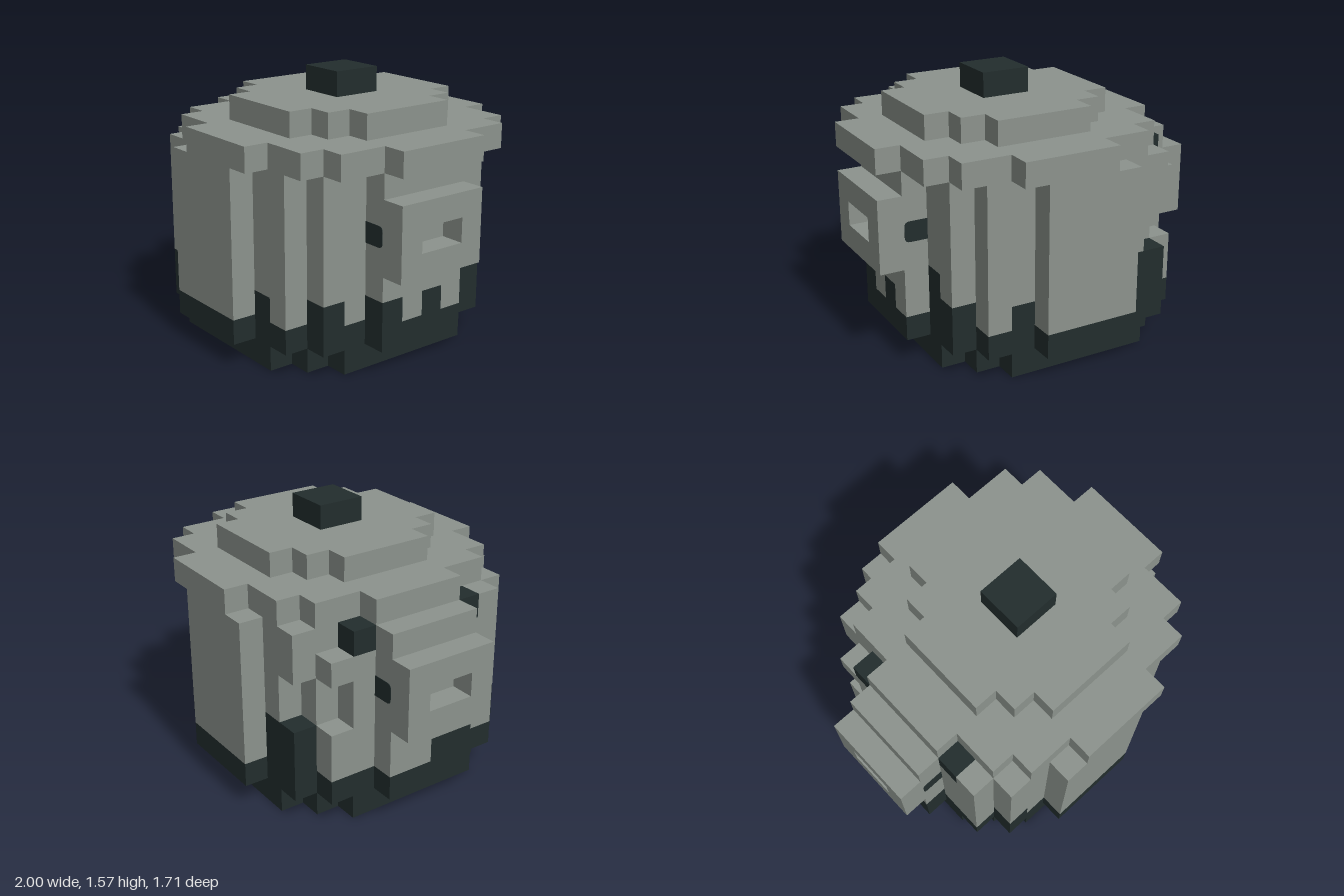
import * as THREE from 'three';

const U = 1 / 7; // edge of one cube

// Half-widths of a stepped disc, indexed by distance of the cube row from the centre
const DISC6 = [6, 6, 5, 5, 4, 2];
const DISC5 = [5, 5, 5, 4, 3];
const DISC4 = [4, 4, 3, 2];

// Cubes at the rim where the dark base climbs higher than usual: "x,z" -> top
const STAIN = {
  '-6,1': 3, '-6,0': 3, '-4,4': 3, '2,4': 3, '4,3': 3, '5,1': 3, '5,-1': 3,
  '4,-3': 4, '4,-4': 3, '2,-5': 3, '-3,-5': 4, '-4,-5': 4,
};

// Six cube faces: outward normal, then the two in-plane axes (u x v = normal)
const FACES = [
  [[1, 0, 0], [0, 1, 0], [0, 0, 1]], [[-1, 0, 0], [0, 0, 1], [0, 1, 0]],
  [[0, 1, 0], [0, 0, 1], [1, 0, 0]], [[0, -1, 0], [1, 0, 0], [0, 0, 1]],
  [[0, 0, 1], [1, 0, 0], [0, 1, 0]], [[0, 0, -1], [0, 1, 0], [1, 0, 0]],
];

export function createModel() {
  const clay = new THREE.MeshStandardMaterial({ color: 0x8c938d });
  clay.name = 'greyClay';
  const soot = new THREE.MeshStandardMaterial({ color: 0x222d2d });
  soot.name = 'darkSoot';

  const cells = new Map();
  const key = (x, y, z) => `${x},${y},${z}`;
  const put = (part, x, y, z) => cells.set(key(x, y, z), { part, p: [x, y, z] });

  // Calls fn for each column of a stepped disc centred on cx
  const disc = (rows, cx, fn) => {
    for (let z = -rows.length; z < rows.length; z++) {
      const w = rows[z < 0 ? -z - 1 : z];
      for (let x = cx - w; x < cx + w; x++) fn(x, z);
    }
  };

  // Base and pot wall
  disc(DISC5, 0, (x, z) => put('base', x, 0, z));
  disc(DISC6, 0, (x, z) => {
    const top = STAIN[`${x},${z}`] ?? 2;
    for (let y = 1; y < 8; y++) put(y < top ? 'base' : 'pot', x, y, z);
  });

  // Chipped corner at the back
  for (const y of [4, 5]) {
    cells.delete(key(-4, y, -5));
    cells.delete(key(-5, y, -4));
  }
  cells.delete(key(-5, 7, -4));

  // Dark spots on the rim
  for (const z of [-3, 2]) put('rimSpots', -5, 7, z);

  // Lid, slid to one side, with its knob
  disc(DISC6, 1, (x, z) => put('lid', x, 8, z));
  disc(DISC4, 1, (x, z) => put('lid', x, 9, z));
  disc([1], 1, (x, z) => put('knob', x, 10, z));

  // Handles, each with an opening
  for (const x of [-7, 6])
    for (let y = 4; y < 7; y++)
      for (let z = -2; z < 2; z++)
        if (y !== 5 || z === -2 || z === 1) put(x < 0 ? 'rightHandle' : 'leftHandle', x, y, z);

  // Turn exposed cube faces into one mesh per part
  const data = {};
  for (const { part, p } of cells.values()) {
    const out = (data[part] ??= { pos: [], nor: [] });
    for (const [n, u, v] of FACES) {
      if (cells.has(key(p[0] + n[0], p[1] + n[1], p[2] + n[2]))) continue;
      for (const [a, b] of [[0, 0], [1, 0], [1, 1], [0, 0], [1, 1], [0, 1]]) {
        for (let i = 0; i < 3; i++)
          out.pos.push((p[i] + Math.max(n[i], 0) + a * u[i] + b * v[i]) * U);
        out.nor.push(...n);
      }
    }
  }

  const group = new THREE.Group();
  group.name = 'pot';
  const dark = ['base', 'rimSpots', 'knob'];
  for (const [part, { pos, nor }] of Object.entries(data)) {
    const g = new THREE.BufferGeometry();
    g.setAttribute('position', new THREE.Float32BufferAttribute(pos, 3));
    g.setAttribute('normal', new THREE.Float32BufferAttribute(nor, 3));
    const mesh = new THREE.Mesh(g, dark.includes(part) ? soot : clay);
    mesh.name = part;
    group.add(mesh);
  }

  // Dark rivet marks beside the handles, rounded on the outer end
  const w = 0.135, h = 0.12, r = 0.03;
  const s = new THREE.Shape();
  s.moveTo(0, 0);
  s.lineTo(w - r, 0);
  s.quadraticCurveTo(w, 0, w, r);
  s.lineTo(w, h - r);
  s.quadraticCurveTo(w, h, w - r, h);
  s.lineTo(0, h);
  const plate = new THREE.ExtrudeGeometry(s, { depth: 0.006, bevelEnabled: false, curveSegments: 4 });
  plate.translate(0, 0, -0.003);
  for (const side of [1, -1])
    for (const z of [2, -2]) {
      const mark = new THREE.Mesh(plate, soot);
      mark.name = 'handleMark';
      mark.position.set(side * 5 * U, 0.73, z * U);
      mark.rotation.y = side > 0 ? 0 : Math.PI;
      group.add(mark);
    }
  return group;
}
